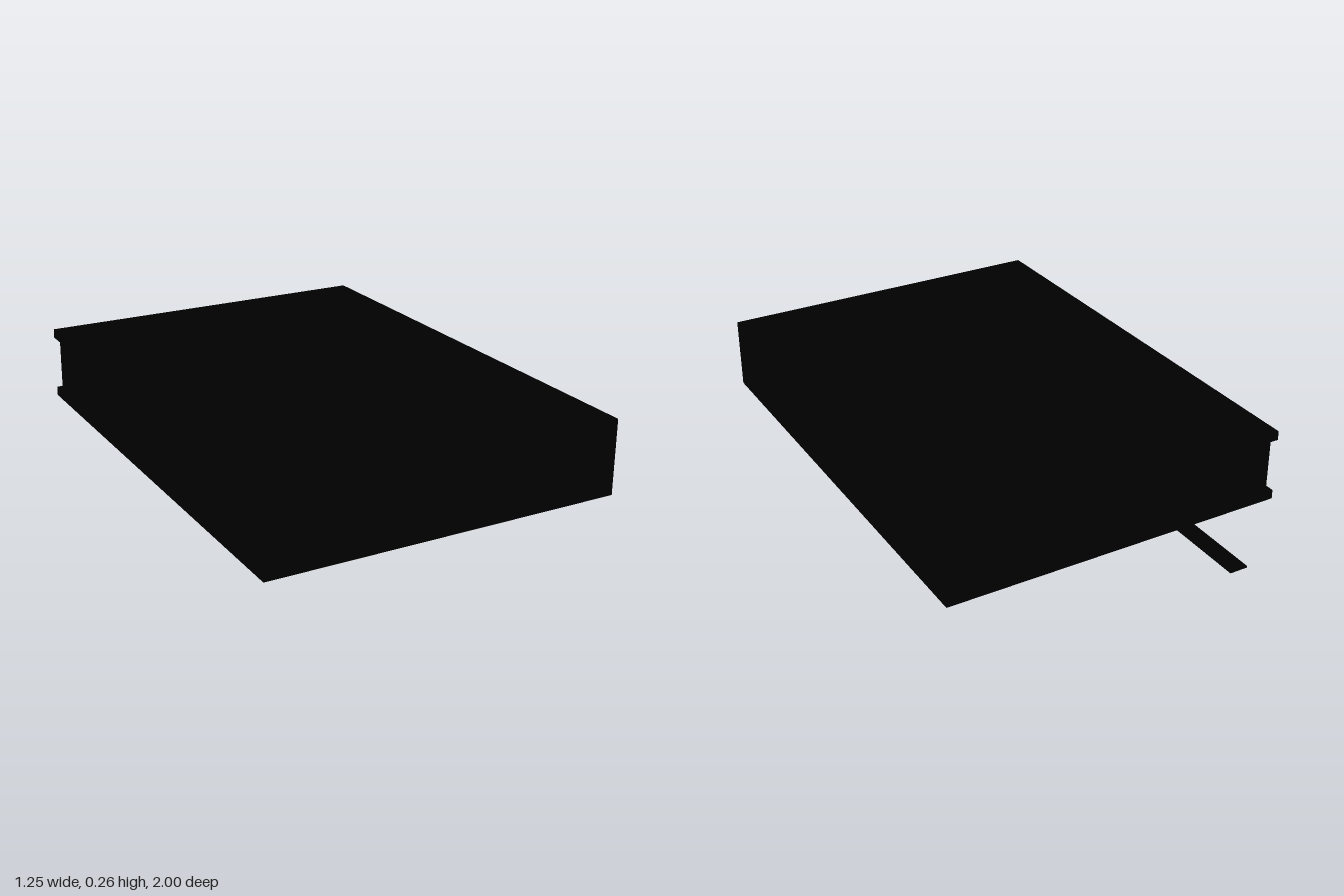
import * as THREE from 'three';

// Closed hardback lying flat: spine at +x, ribbon marker trailing out of the back.
export function createModel() {
  const group = new THREE.Group();
  group.name = 'book';
  const black = new THREE.MeshStandardMaterial({ color: 0x000000 });
  black.name = 'black';

  // Box given by its limits on each axis
  const box = (name, [x0, x1], [y0, y1], [z0, z1]) => {
    const mesh = new THREE.Mesh(new THREE.BoxGeometry(x1 - x0, y1 - y0, z1 - z0), black);
    mesh.position.set((x0 + x1) / 2, (y0 + y1) / 2, (z0 + z1) / 2);
    mesh.name = name;
    group.add(mesh);
  };

  const halfWidth = 0.627, height = 0.262, board = 0.033;
  const back = -0.715, front = 1, recess = 0.016;
  const spineInner = 0.56, pagesEnd = 0.528;

  // Cover boards and spine
  box('bottomCover', [-halfWidth, spineInner], [0, board], [back, front]);
  box('topCover', [-halfWidth, spineInner], [height - board, height], [back, front]);
  box('spine', [spineInner, halfWidth], [0, height], [back, front]);

  // Page block, set in from the covers with an open gap before the spine
  box('pages', [-halfWidth + recess, pagesEnd], [board, height - board], [back + recess, front - recess]);

  // Ribbon marker
  box('ribbon', [-0.295, -0.23], [0, 0.006], [-1, back]);

  return group;
}
